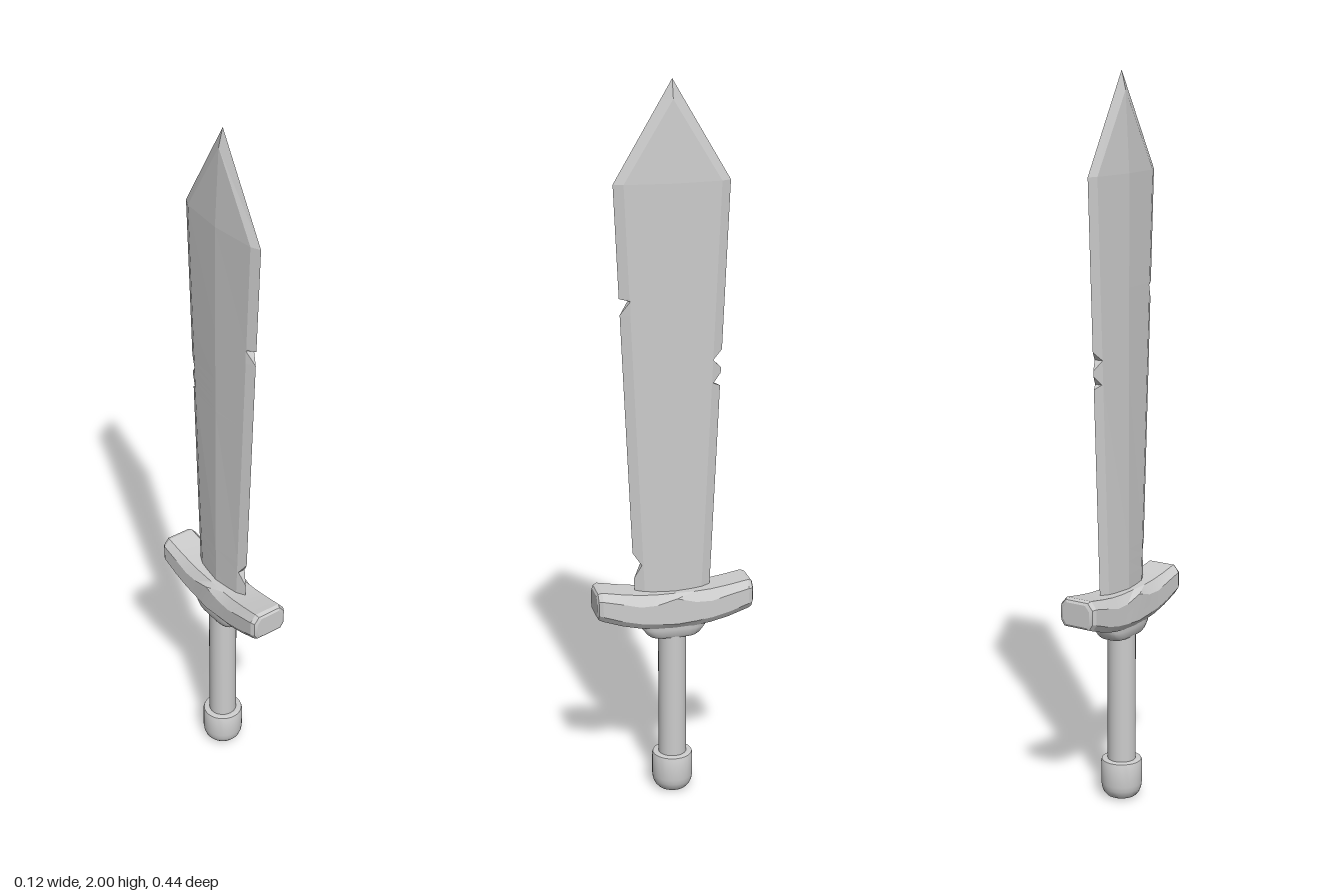
import * as THREE from 'three';
import { toCreasedNormals } from 'three/addons/utils/BufferGeometryUtils.js';

// Skin a list of equal-length rings of [x, y, z] and cap both ends
function loft(rings) {
  const pos = [];
  const tri = (...pts) => pts.forEach((p) => pos.push(...p));
  const n = rings[0].length;
  const centre = (r) => [0, 1, 2].map((k) => r.reduce((s, p) => s + p[k], 0) / n);
  const first = rings[0], last = rings[rings.length - 1];
  const c0 = centre(first), c1 = centre(last);
  for (let j = 0; j < n; j++) {
    const k = (j + 1) % n;
    for (let i = 0; i < rings.length - 1; i++) {
      const a = rings[i][j], b = rings[i][k], c = rings[i + 1][k], d = rings[i + 1][j];
      tri(a, d, c);
      tri(a, c, b);
    }
    tri(c0, first[j], first[k]);
    tri(c1, last[k], last[j]);
  }
  const g = new THREE.BufferGeometry();
  g.setAttribute('position', new THREE.Float32BufferAttribute(pos, 3));
  g.computeVertexNormals();
  return g;
}

// Blade: ridged, bevelled section with notches cut into either edge
function bladeGeometry() {
  const bevel = 0.026, ridge = 0.024, shoulder = 0.0125;
  const fullEdge = (y) => 0.105 + (0.157 - 0.105) * (y - 0.58) / (1.735 - 0.58);
  // [height, bite into the +z edge, bite into the -z edge]
  const rows = [
    [0.58, 0, 0], [0.645, 0, 0], [0.685, 0.022, 0], [0.72, 0, 0],
    [1.18, 0, 0], [1.19, 0, 0.022], [1.215, 0, 0], [1.23, 0, 0], [1.255, 0, 0.026], [1.28, 0, 0],
    [1.39, 0, 0], [1.428, 0.028, 0], [1.434, 0, 0], [1.735, 0, 0],
  ];
  const ring = (y, biteP, biteN) => {
    const E = fullEdge(y), B = E - bevel;
    const thick = (z) => z > B ? shoulder * (E - z) / bevel : ridge + (shoulder - ridge) * z / B;
    const side = (bite) => {
      const e = E - bite, b = Math.min(B, e);
      return [[thick(b), b], [thick(e), e]];
    };
    const [[pbx, pb], [pex, pe]] = side(biteP);
    const [[nbx, nb], [nex, ne]] = side(biteN);
    return [
      [ridge, y, 0], [pbx, y, pb], [pex, y, pe], [-pex, y, pe], [-pbx, y, pb],
      [-ridge, y, 0], [-nbx, y, -nb], [-nex, y, -ne], [nex, y, -ne], [nbx, y, -nb],
    ];
  };
  const rings = rows.map((r) => ring(...r));
  // Point: the bevels meet just below the tip
  const y = 1.949, s = shoulder, e = 0.03;
  rings.push([
    [s, y, 0], [s, y, 0], [0, y, e], [0, y, e], [-s, y, 0],
    [-s, y, 0], [-s, y, 0], [0, y, -e], [0, y, -e], [s, y, 0],
  ]);
  rings.push(rings[0].map(() => [0, 2, 0]));
  return loft(rings);
}

// Crossguard: upswept chamfered bar with a small peak in the middle
function guardGeometry() {
  // [z, top, upper chamfer, bottom, half width]
  const half = [
    [0.205, 0.627, 0.607, 0.545, 0.056], [0.15, 0.617, 0.594, 0.526, 0.056],
    [0.1, 0.61, 0.581, 0.514, 0.056], [0.055, 0.607, 0.582, 0.508, 0.056],
    [0, 0.607, 0.598, 0.505, 0.059],
  ];
  const mirrored = half.slice(0, -1).reverse().map(([z, ...r]) => [-z, ...r]);
  const section = ([z, t, c, b, w]) => [
    [w, b + 0.018, z], [w, c, z], [0.039, t, z], [-0.039, t, z],
    [-w, c, z], [-w, b + 0.018, z], [-0.044, b, z], [0.044, b, z],
  ];
  const rings = [...half, ...mirrored].map(section);
  // Softened ends
  const end = (ring, dir) => [[0.216, 0.9], [0.22, 0.74]].map(([z, s]) =>
    ring.map(([x, y]) => [x * s, 0.588 + (y - 0.588) * s, dir * z]));
  return loft([...end(rings[0], 1).reverse(), ...rings, ...end(rings[rings.length - 1], -1)]);
}

// Collar: tapered rounded block under the guard
function collarGeometry() {
  const ring = (y, w, d) => Array.from({ length: 24 }, (_, i) => {
    const a = i / 24 * Math.PI * 2, c = Math.cos(a), s = Math.sin(a);
    const soft = (v) => Math.sign(v) * Math.abs(v) ** 0.55;
    return [w * soft(c), y, d * soft(s)];
  });
  return loft([ring(0.474, 0.037, 0.066), ring(0.482, 0.042, 0.076),
    ring(0.5, 0.046, 0.09), ring(0.53, 0.046, 0.096)]);
}

const lathe = (pts, sides) =>
  new THREE.LatheGeometry(pts.map(([r, y]) => new THREE.Vector2(r, y)), sides);

export function createModel() {
  const steel = new THREE.MeshStandardMaterial({ color: 0xcccccc });
  steel.name = 'light grey';
  const model = new THREE.Group();
  model.name = 'sword';
  const add = (name, geometry) => {
    const mesh = new THREE.Mesh(geometry, steel);
    mesh.name = name;
    model.add(mesh);
  };

  add('blade', bladeGeometry());
  add('crossguard', toCreasedNormals(guardGeometry(), 0.3));
  add('collar', toCreasedNormals(collarGeometry(), 0.6));
  add('grip', lathe([[0.039, 0.09], [0.039, 0.49]], 32));
  add('pommel', toCreasedNormals(lathe([
    [0, 0], [0.03, 0], [0.041, 0.005], [0.05, 0.015], [0.055, 0.028], [0.057, 0.042],
    [0.057, 0.104], [0.055, 0.11], [0.05, 0.112], [0.036, 0.112],
  ], 32), 0.7));
  return model;
}
